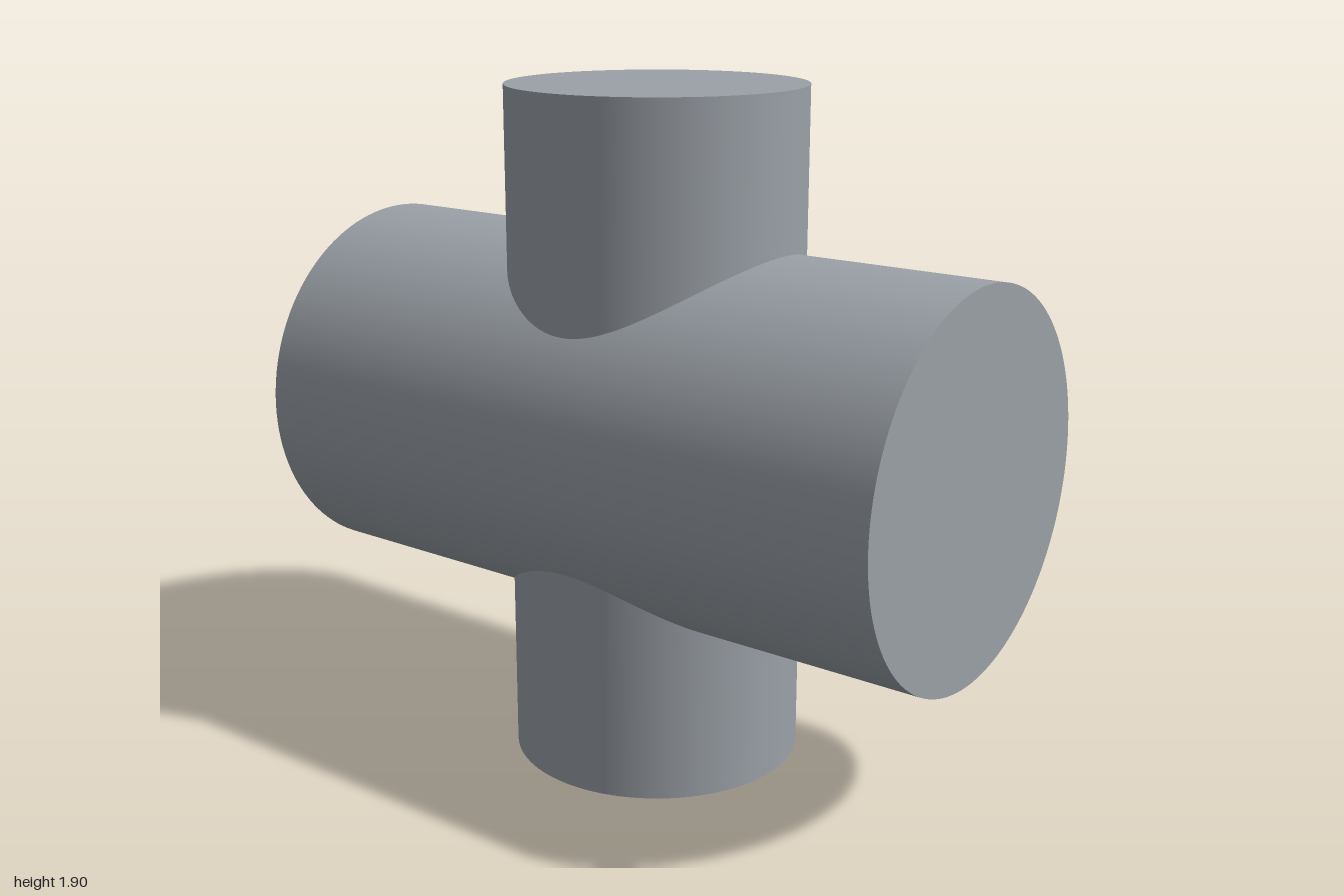
import * as THREE from 'three';

const CENTRE_Y = 0.95;

export function createModel() {
  const model = new THREE.Group();
  model.name = 'pipeCross';

  const steel = new THREE.MeshStandardMaterial({ color: 0x9ba1a8 });
  steel.name = 'steelGrey';

  // Solid round bar centred on the crossing point
  const addBar = (name, radius, length) => {
    const bar = new THREE.Mesh(new THREE.CylinderGeometry(radius, radius, length, 128), steel);
    bar.name = name;
    bar.position.y = CENTRE_Y;
    model.add(bar);
    return bar;
  };

  // Wide main bar lying along x
  addBar('mainCylinder', 0.525, 2).rotation.z = Math.PI / 2;

  // Narrower upright bar passing through it, forming the top and bottom branches
  addBar('crossCylinder', 0.41, 1.9);

  return model;
}
